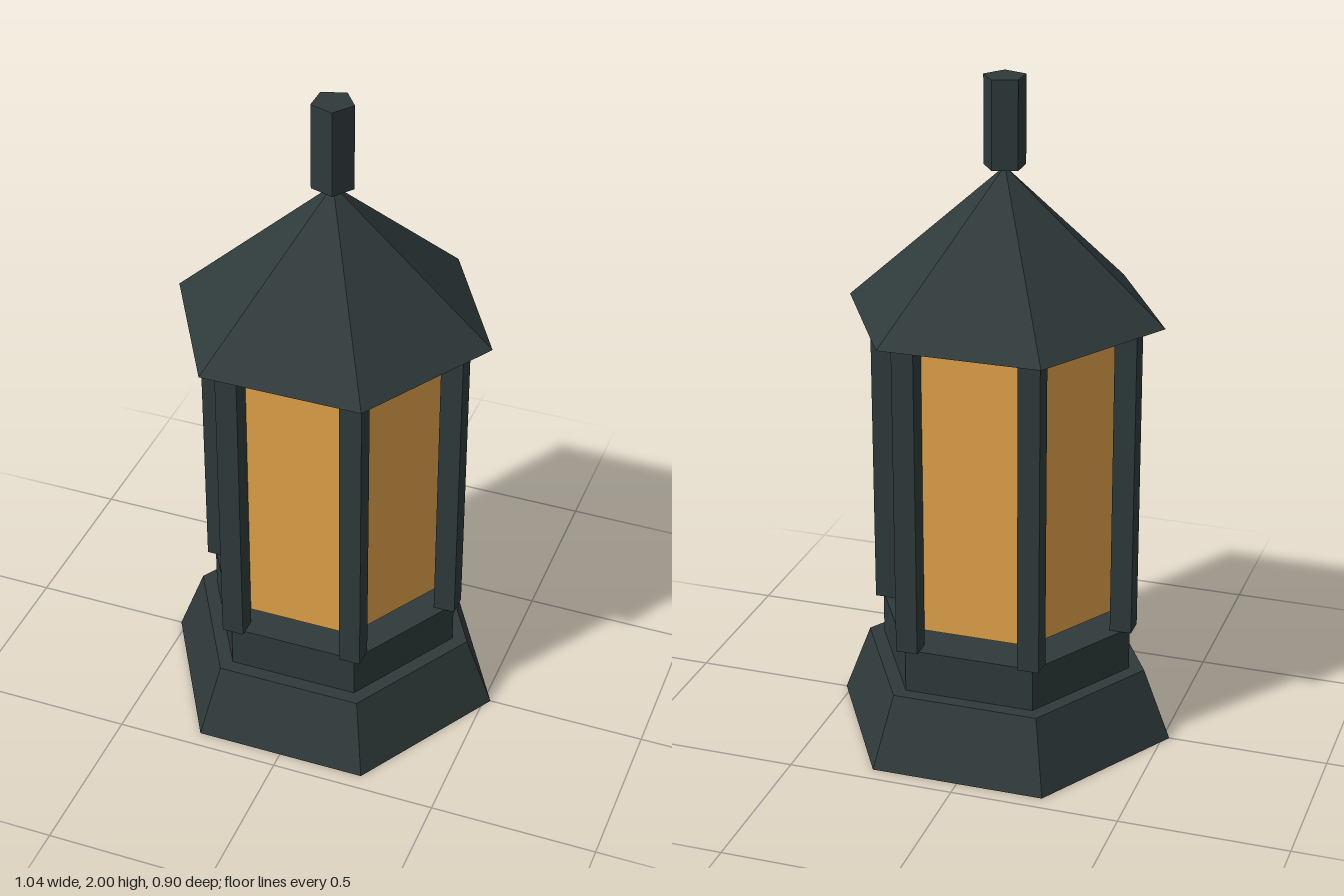
import * as THREE from 'three';

const metal = new THREE.MeshStandardMaterial({ color: 0x2f3a3b });
metal.name = 'dark metal';
const amber = new THREE.MeshStandardMaterial({ color: 0xdfa148 });
amber.name = 'amber glass';

// Faceted prism or frustum between two heights, with flat normals
function prism(name, material, rBottom, rTop, y0, y1, sides = 6, start = Math.PI / 6) {
  const geometry = new THREE.CylinderGeometry(rTop, rBottom, y1 - y0, sides, 1, false, start).toNonIndexed();
  geometry.computeVertexNormals();
  const mesh = new THREE.Mesh(geometry, material);
  mesh.name = name;
  mesh.position.y = (y0 + y1) / 2;
  return mesh;
}

export function createModel() {
  const lantern = new THREE.Group();
  lantern.name = 'lantern';

  // Stepped hexagonal foot, glass body, pointed roof and five-sided finial
  lantern.add(
    prism('base', metal, 0.52, 0.437, 0, 0.217),
    prism('plinth', metal, 0.39, 0.39, 0.217, 0.35),
    prism('glass', amber, 0.329, 0.329, 0.396, 1.264),
    prism('roof', metal, 0.476, 0, 1.307, 1.74),
    prism('finial', metal, 0.063, 0.063, 1.74, 2, 5, Math.PI / 2)
  );

  // Square corner posts, all aligned with the axes
  const posts = new THREE.Group();
  posts.name = 'posts';
  const postGeometry = new THREE.BoxGeometry(0.065, 0.958, 0.065);
  for (let i = 0; i < 6; i++) {
    const a = (i * Math.PI) / 3;
    const post = new THREE.Mesh(postGeometry, metal);
    post.name = 'post';
    post.position.set(0.37 * Math.cos(a), 0.829, 0.37 * Math.sin(a));
    posts.add(post);
  }
  lantern.add(posts);
  return lantern;
}
